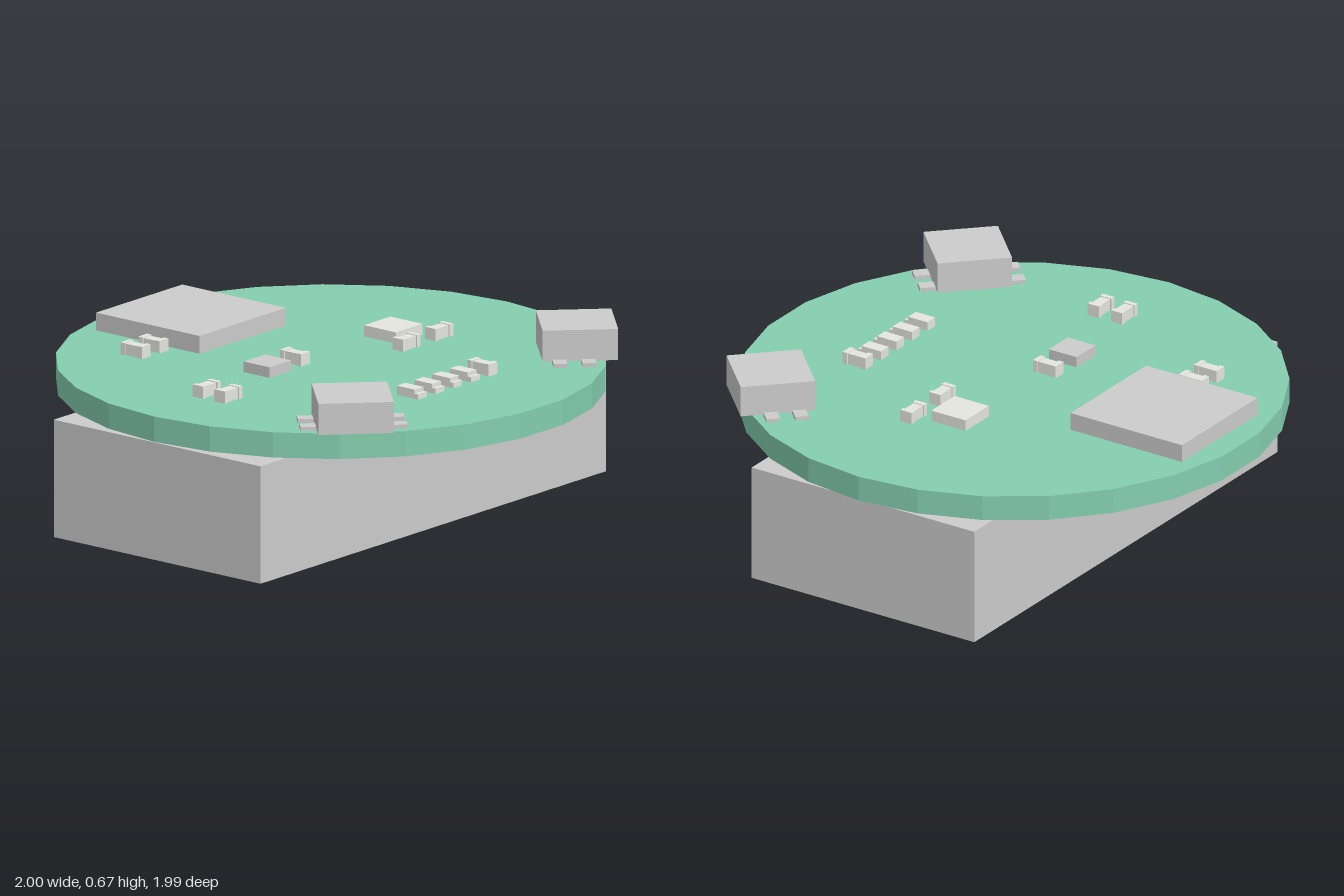
import * as THREE from 'three';

const grey = new THREE.MeshStandardMaterial({ color: 0xcccccc, flatShading: true });
const green = new THREE.MeshStandardMaterial({ color: 0x84ceaf, flatShading: true });
const pale = new THREE.MeshStandardMaterial({ color: 0xe6e6e0, flatShading: true });

const BOARD_TOP = 0.545;

// Box given by its centre in x and z, its bottom and its size
function box(parent, name, x, y, z, w, h, d, material = grey) {
  const mesh = new THREE.Mesh(new THREE.BoxGeometry(w, h, d), material);
  mesh.name = name;
  mesh.position.set(x, y + h / 2, z);
  parent.add(mesh);
  return mesh;
}

// Group standing on the upper face of the board
function onBoard(parent, name, x, z, turn = 0) {
  const group = new THREE.Group();
  group.name = name;
  group.position.set(x, BOARD_TOP, z);
  group.rotation.y = turn;
  parent.add(group);
  return group;
}

// Chip part with a slim body and two wider end caps, long in z
function addChipPart(parent, x, z, turn = 0) {
  const part = onBoard(parent, 'chipPart', x, z, turn);
  box(part, 'chipBody', 0, 0, 0, 0.04, 0.043, 0.07, pale);
  for (const side of [-1, 1]) box(part, 'chipEnd', 0, 0, side * 0.04, 0.05, 0.046, 0.02, pale);
}

// Small lamp with a low contact at its front end
function addLamp(parent, x, z) {
  const lamp = onBoard(parent, 'lamp', x, z);
  box(lamp, 'lampBody', 0, 0, -0.008, 0.05, 0.035, 0.084, pale);
  box(lamp, 'lampContact', 0, 0, 0.042, 0.05, 0.02, 0.016, pale);
}

// Push button set diagonally, with two pins on each of two opposite sides
function addButton(parent, side) {
  const button = onBoard(parent, 'button', side * 0.635, 0.632, side * Math.PI / 4);
  box(button, 'buttonBody', 0, 0.008, 0, 0.275, 0.117, 0.275);
  for (const end of [-1, 1]) {
    for (const offset of [-0.078, 0.028]) {
      box(button, 'buttonPin', end * 0.163, 0, offset, 0.064, 0.015, 0.05);
    }
  }
}

export function createModel() {
  const model = new THREE.Group();
  model.name = 'circuitBoardWithBattery';

  // Battery block and the contact pads above it
  box(model, 'batteryBlock', -0.006, 0, 0, 1.955, 0.442, 0.975);
  for (const side of [-1, 1]) box(model, 'contactPad', side * 0.895, 0.44, 0, 0.13, 0.012, 0.185);

  // Round board with a corner at each end of x
  const board = new THREE.Mesh(
    new THREE.CylinderGeometry(1, 1, BOARD_TOP - 0.45, 26, 1, false, Math.PI / 2), green);
  board.name = 'board';
  board.position.y = (BOARD_TOP + 0.45) / 2;
  model.add(board);

  // Large module, processor and sensor
  box(model, 'radioModule', -0.006, BOARD_TOP, -0.655, 0.488, 0.067, 0.488);
  box(model, 'processor', -0.275, BOARD_TOP, -0.07, 0.122, 0.04, 0.122);
  box(model, 'sensor', 0.385, BOARD_TOP, -0.027, 0.15, 0.042, 0.15, pale);

  // Chip parts: x, z and whether they lie along x
  const chips = [
    [-0.415, -0.575, 0], [-0.315, -0.575, 0], [-0.12, -0.07, 0], [0.21, 0.54, 0],
    [-0.655, -0.04, 1], [-0.655, 0.062, 1], [0.29, 0.115, 1], [0.475, 0.115, 1],
  ];
  for (const [x, z, along] of chips) addChipPart(model, x, z, along * Math.PI / 2);

  // Row of lamps
  for (let i = 0; i < 4; i++) addLamp(model, -0.19 + i * 0.1, 0.54);

  // Buttons at both front corners
  for (const side of [-1, 1]) addButton(model, side);

  return model;
}
